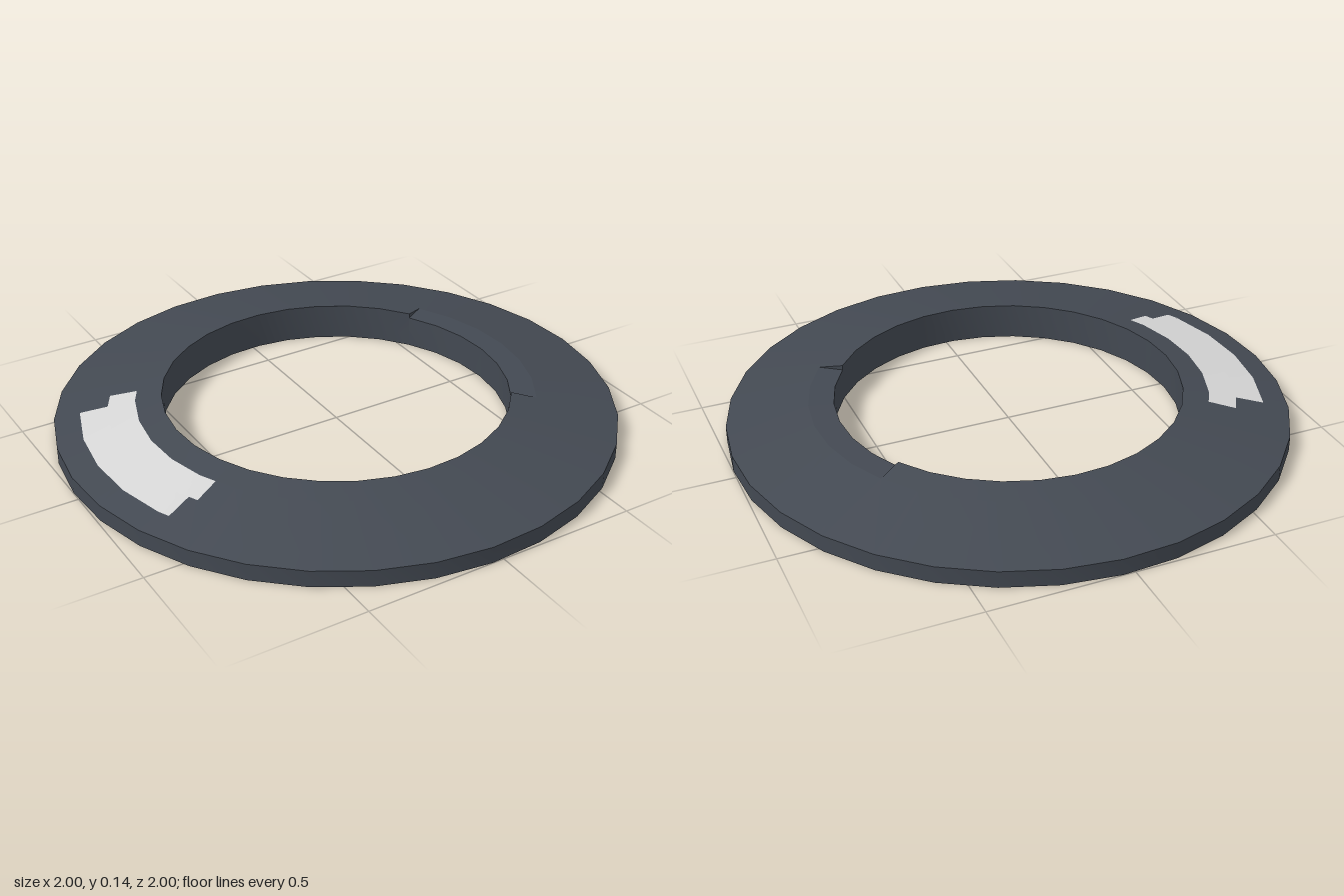
import * as THREE from 'three';
import { toCreasedNormals } from 'three/addons/utils/BufferGeometryUtils.js';

const SEGMENTS = 32;
const STEP = (Math.PI * 2) / SEGMENTS;
const START = THREE.MathUtils.degToRad(2.45);
const INNER = 0.62, OUTER = 1, RIM = 0.06, TOP = 0.135;
const NOTCH_R = 0.71;
const NOTCH_FROM = -3, NOTCH_TO = 3; // segment indices of the notch

const slopeY = (r) => RIM + ((TOP - RIM) * (OUTER - r)) / (OUTER - INNER);
const FLOOR = slopeY(NOTCH_R);
const angleAt = (i) => START + i * STEP;

// Point on the 32-sided ring; angles between corners stay on the flat facet
function point(angle, [r, y]) {
  const t = (angle - START) / STEP;
  const offset = (t - Math.floor(t) - 0.5) * STEP;
  const k = Math.abs(t - Math.round(t)) < 1e-6 ? 1 : Math.cos(STEP / 2) / Math.cos(offset);
  return [Math.cos(angle) * r * k, y, Math.sin(angle) * r * k];
}

// Sweep a profile of [radius, height] points between two angles
function sweep(out, profile, a0, a1) {
  for (let j = 0; j < profile.length - 1; j++) {
    const A0 = point(a0, profile[j]), B0 = point(a0, profile[j + 1]);
    const A1 = point(a1, profile[j]), B1 = point(a1, profile[j + 1]);
    out.push(...A0, ...B0, ...B1, ...A0, ...B1, ...A1);
  }
}

function makeMesh(name, positions, material) {
  const geometry = new THREE.BufferGeometry();
  geometry.setAttribute('position', new THREE.Float32BufferAttribute(positions, 3));
  const mesh = new THREE.Mesh(toCreasedNormals(geometry, 0.3), material);
  mesh.name = name;
  return mesh;
}

// Thin painted band lying on the sloping top
function bandMesh(name, rIn, rOut, fromDeg, toDeg, material) {
  const from = THREE.MathUtils.degToRad(fromDeg), to = THREE.MathUtils.degToRad(toDeg);
  const cuts = [from];
  for (let i = 0; i < SEGMENTS; i++) {
    if (angleAt(i) > from && angleAt(i) < to) cuts.push(angleAt(i));
  }
  cuts.push(to);
  const lift = 0.002, out = [];
  const profile = [[rOut, slopeY(rOut) + lift], [rIn, slopeY(rIn) + lift]];
  for (let i = 0; i < cuts.length - 1; i++) sweep(out, profile, cuts[i], cuts[i + 1]);
  return makeMesh(name, out, material);
}

export function createModel() {
  const group = new THREE.Group();
  group.name = 'bevelledRing';
  const slate = new THREE.MeshStandardMaterial({ color: 0x434952 });
  slate.name = 'slate grey';
  const pale = new THREE.MeshStandardMaterial({ color: 0xd6d6d6, side: THREE.DoubleSide });
  pale.name = 'pale grey';

  // Ring body, with the inner top edge left out along the notch
  const body = [], floor = [], ends = [];
  const outside = [[INNER, 0], [OUTER, 0], [OUTER, RIM], [NOTCH_R, FLOOR]];
  for (let i = NOTCH_FROM; i < NOTCH_FROM + SEGMENTS; i++) {
    const a0 = angleAt(i), a1 = angleAt(i + 1);
    if (i < NOTCH_TO) {
      sweep(body, outside, a0, a1);
      sweep(body, [[INNER, FLOOR], [INNER, 0]], a0, a1);
      sweep(floor, [[NOTCH_R, FLOOR], [INNER, FLOOR]], a0, a1);
    } else {
      sweep(body, [...outside, [INNER, TOP], [INNER, 0]], a0, a1);
    }
  }

  // Small triangular walls closing the notch at both ends
  const corner = [INNER, FLOOR], crest = [NOTCH_R, FLOOR], peak = [INNER, TOP];
  for (const p of [corner, crest, peak]) ends.push(...point(angleAt(NOTCH_FROM), p));
  for (const p of [corner, peak, crest]) ends.push(...point(angleAt(NOTCH_TO), p));

  group.add(
    makeMesh('ringBody', body, slate),
    makeMesh('notchFloor', floor, slate),
    makeMesh('notchEnds', ends, slate),
    bandMesh('outerPaleBand', 0.81, 0.908, 157.3, 205.1, pale),
    bandMesh('innerPaleBand', 0.713, 0.81, 154.8, 210.4, pale)
  );
  return group;
}
